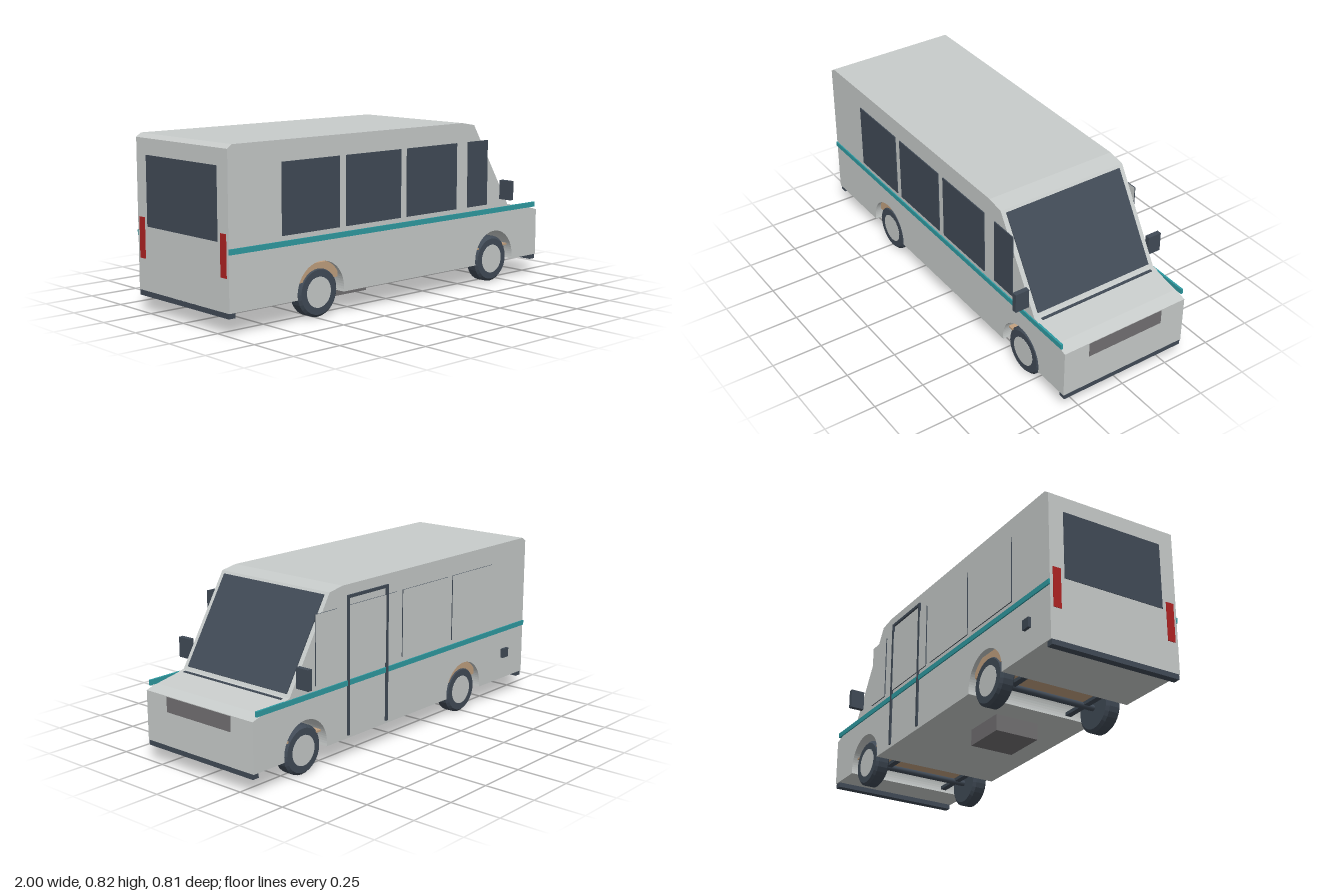
import * as THREE from 'three';

const mat = (name, color) => {
  const m = new THREE.MeshStandardMaterial({ color });
  m.name = name;
  return m;
};

export function createModel() {
  const paint = mat('body paint', 0xc8cccb);
  const dark = mat('dark glass and rubber', 0x414b57);
  const teal = mat('teal stripe', 0x2f9ca3);
  const grey = mat('mid grey', 0x727072);
  const tan = mat('tan floor', 0xc2a180);
  const red = mat('tail light red', 0xb02222);

  const van = new THREE.Group();
  van.name = 'van';
  const HALF = 0.335; // half width of the body
  const wheelX = [-0.485, 0.675];

  const add = (name, geo, material, x = 0, y = 0, z = 0, parent = van) => {
    const mesh = new THREE.Mesh(geo, material);
    mesh.name = name;
    mesh.position.set(x, y, z);
    parent.add(mesh);
    return mesh;
  };
  // box given by its limits on each axis
  const box = (name, material, x0, x1, y0, y1, z0, z1) =>
    add(name, new THREE.BoxGeometry(x1 - x0, y1 - y0, z1 - z0), material,
      (x0 + x1) / 2, (y0 + y1) / 2, (z0 + z1) / 2);

  // Body: side outline with wheel arches, extruded across the width
  const outline = new THREE.Shape();
  outline.moveTo(-1, 0.1);
  const archY = 0.122, archR = 0.138;
  const drop = Math.asin((archY - 0.1) / archR);
  for (const x of wheelX) {
    outline.lineTo(x - archR * Math.cos(drop), 0.1);
    outline.absarc(x, archY, archR, Math.PI + drop, -drop, true);
  }
  for (const [x, y] of [[1, 0.1], [1, 0.335], [0.94, 0.353], [0.775, 0.383],
    [0.515, 0.803], [0.43, 0.818], [-0.975, 0.818], [-1, 0.8]]) outline.lineTo(x, y);
  outline.closePath();
  const bodyGeo = new THREE.ExtrudeGeometry(outline,
    { depth: HALF * 2, bevelEnabled: false, curveSegments: 20 });
  add('body', bodyGeo, paint, 0, 0, -HALF);

  // Side windows: glazed on the left, blanked with body panels on the right
  const panel = [dark, dark, dark, dark, paint, paint];
  for (const [x0, x1] of [[-0.71, -0.375], [-0.335, 0.01], [0.05, 0.39], [0.47, 0.612]]) {
    box('sideWindow', dark, x0, x1, 0.4, 0.723, HALF, HALF + 0.005);
    box('blankedWindow', panel, x0, x1, 0.4, 0.723, -HALF - 0.005, -HALF);
  }

  // Stripe along both sides
  for (const s of [-1, 1]) {
    const z = s * (HALF + 0.001);
    box('stripe', teal, -1, 0.98, 0.352, 0.377, z - 0.005, z + 0.005);
  }

  // Windscreen laid on the sloping front, with a wiper line below
  const slope = new THREE.Vector2(0.775 - 0.515, 0.383 - 0.803);
  const screen = add('windscreen', new THREE.BoxGeometry(0.006, slope.length() * 0.94, 0.624),
    dark, 0.646, 0.594, 0);
  screen.rotation.z = Math.atan2(slope.x, -slope.y);
  box('wiper', dark, 0.788, 0.802, 0.372, 0.382, -0.308, 0.308);

  // Front and rear ends
  box('grille', grey, 0.997, 1.001, 0.26, 0.332, -0.202, 0.202);
  box('frontBumper', dark, 0.965, 1, 0.076, 0.101, -0.33, 0.33);
  box('rearBumper', dark, -1, -0.965, 0.076, 0.101, -0.33, 0.33);
  box('rearWindow', dark, -1.002, -0.998, 0.4, 0.725, -0.26, 0.26);
  for (const s of [-1, 1])
    box('tailLight', red, -1.003, -0.998, 0.25, 0.44, s * 0.3 - 0.02, s * 0.3 + 0.02);

  // Passenger door frame on the right side
  const zo = -HALF - 0.008;
  box('doorFrameFront', dark, 0.388, 0.402, 0.115, 0.77, zo, -HALF);
  box('doorFrameRear', dark, 0.118, 0.132, 0.115, 0.77, zo, -HALF);
  box('doorFrameTop', dark, 0.118, 0.402, 0.756, 0.77, zo, -HALF);
  box('fuelFlap', dark, -0.855, -0.808, 0.213, 0.26, -0.35, -HALF);

  // Mirrors
  for (const s of [-1, 1]) {
    const a = s * HALF, b = s * 0.406;
    box('mirror', dark, 0.71, 0.734, 0.418, 0.514, Math.min(a, b), Math.max(a, b));
  }

  // Underside: tank and the floor seen through the arches
  box('underfloorTank', grey, -0.225, 0, 0.02, 0.101, -0.112, 0.112);
  box('rearWheelBox', tan, -0.6, -0.37, 0.17, 0.25, -0.315, 0.315);
  box('frontFloorStrip', tan, 0.555, 0.795, 0.171, 0.18, -0.315, 0.315);

  // Wheels, axles and short suspension bars
  for (const x of wheelX) {
    const axle = add('axle', new THREE.CylinderGeometry(0.015, 0.015, 0.52, 12), dark, x, 0.115, 0);
    axle.rotation.x = Math.PI / 2;
    for (const s of [-1, 1]) {
      const wheel = new THREE.Group();
      wheel.name = 'wheel';
      wheel.position.set(x, 0.115, s * 0.283);
      wheel.rotation.x = s * Math.PI / 2;
      van.add(wheel);
      const profile = [[0, -0.037], [0.1, -0.037], [0.115, -0.025], [0.115, 0.025],
        [0.103, 0.037], [0.07, 0.037], [0.068, 0.028], [0, 0.028]]
        .map(([r, h]) => new THREE.Vector2(r, h));
      const tyreGeo = new THREE.LatheGeometry(profile, 28).toNonIndexed();
      tyreGeo.computeVertexNormals();
      add('tyre', tyreGeo, dark, 0, 0, 0, wheel);
      add('hub', new THREE.CylinderGeometry(0.071, 0.071, 0.012, 28), paint, 0, 0.032, 0, wheel);
      box('suspensionBar', dark, x - 0.133, x + 0.133, 0.112, 0.128, s * 0.2 - 0.015, s * 0.2 + 0.015);
    }
  }
  return van;
}
